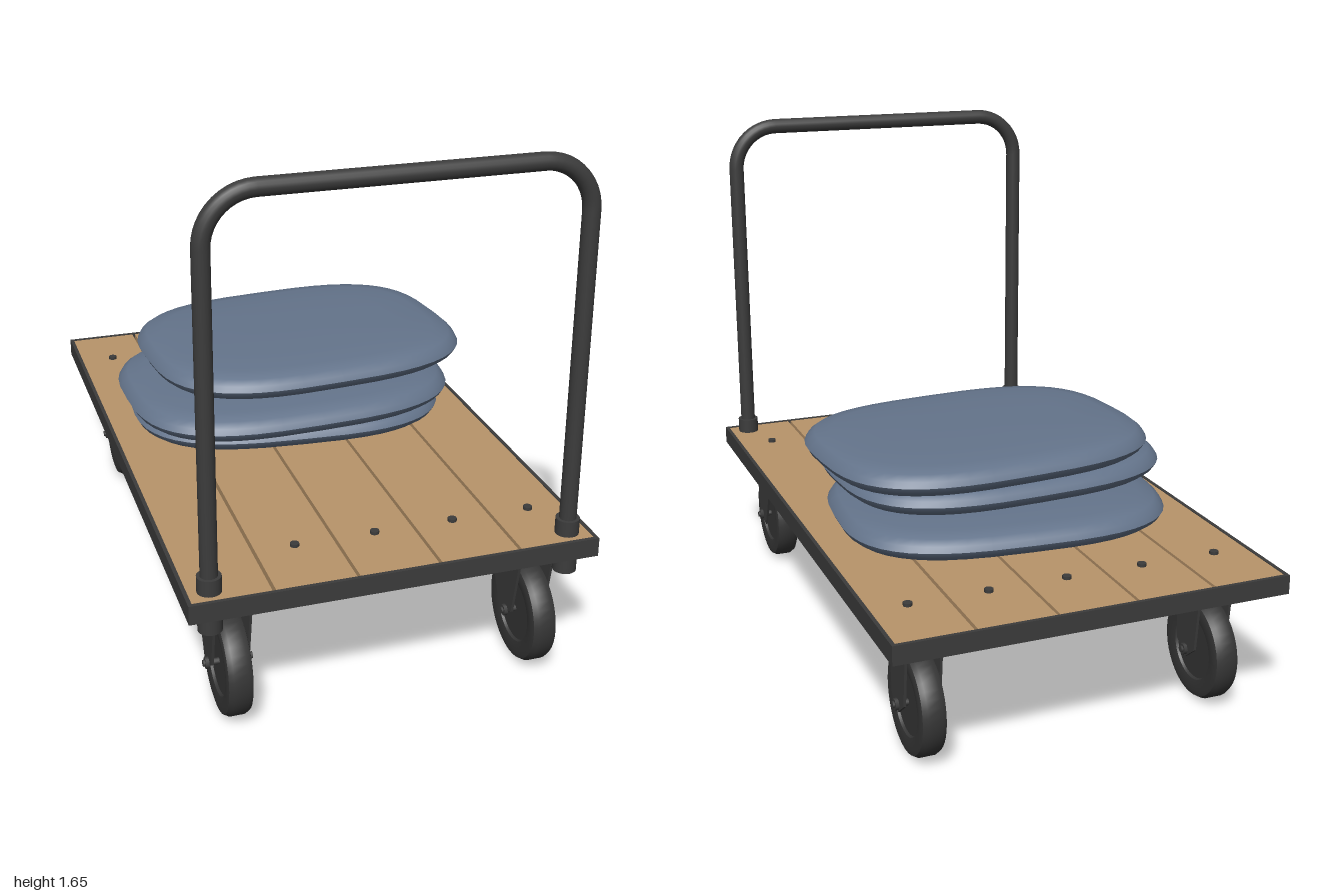
import * as THREE from 'three';
import { toCreasedNormals } from 'three/addons/utils/BufferGeometryUtils.js';

const mat = (name, color, side = THREE.FrontSide) => {
  const m = new THREE.MeshStandardMaterial({ color, side });
  m.name = name;
  return m;
};

export function createModel() {
  const wood = mat('wood', 0xb8946a);
  const metal = mat('dark metal', 0x3c3c3c);
  const rubber = mat('rubber', 0x363636);
  const fabric = mat('blue fabric', 0x64748b);

  const root = new THREE.Group();
  root.name = 'platformTrolley';

  const add = (parent, name, geo, material, x = 0, y = 0, z = 0) => {
    const mesh = new THREE.Mesh(geo, material);
    mesh.name = name;
    mesh.position.set(x, y, z);
    parent.add(mesh);
    return mesh;
  };
  const box = (parent, name, material, w, h, d, x, y, z) =>
    add(parent, name, new THREE.BoxGeometry(w, h, d), material, x, y, z);
  const cyl = (parent, name, r, h, x, y, z, seg = 24) =>
    add(parent, name, new THREE.CylinderGeometry(r, r, h, seg), metal, x, y, z);

  // Deck planks with bolts at both ends
  for (let i = -2; i <= 2; i++) {
    const w = Math.abs(i) === 2 ? 0.233 : 0.24;
    box(root, 'plank', wood, w, 0.034, 1.974, i * 0.25 - Math.sign(i) * (Math.abs(i) === 2 ? 0.003 : 0), 0.457, 0);
    for (const z of [-0.77, 0.77]) cyl(root, 'deckBolt', 0.014, 0.012, i * 0.25, 0.478, z, 12);
  }

  // Angle-iron rim: upright flange plus lower lip
  for (const s of [-1, 1]) {
    box(root, 'sideRim', metal, 0.012, 0.06, 2, s * 0.619, 0.446, 0);
    box(root, 'sideLip', metal, 0.05, 0.012, 1.98, s * 0.595, 0.422, 0);
    box(root, 'endRim', metal, 1.23, 0.06, 0.012, 0, 0.446, s * 0.994);
    box(root, 'endLip', metal, 1.23, 0.024, 0.05, 0, 0.428, s * 0.965);
  }

  // Cross beams under the deck
  for (const z of [-0.77, 0, 0.77]) box(root, 'crossBeam', metal, 1.21, 0.05, 0.12, 0, 0.415, z);

  // Push handle
  const path = new THREE.CurvePath();
  const v = (x, y) => new THREE.Vector3(x, y, 0.935);
  const r = 0.15, hx = 0.55, top = 1.63, k = r * 0.448;
  path.add(new THREE.LineCurve3(v(-hx, 0.42), v(-hx, top - r)));
  path.add(new THREE.CubicBezierCurve3(v(-hx, top - r), v(-hx, top - k), v(-hx + k, top), v(-hx + r, top)));
  path.add(new THREE.LineCurve3(v(-hx + r, top), v(hx - r, top)));
  path.add(new THREE.CubicBezierCurve3(v(hx - r, top), v(hx - k, top), v(hx, top - k), v(hx, top - r)));
  path.add(new THREE.LineCurve3(v(hx, top - r), v(hx, 0.42)));
  add(root, 'pushHandle', new THREE.TubeGeometry(path, 160, 0.026, 16), metal);
  for (const s of [-1, 1]) {
    cyl(root, 'handleCollar', 0.036, 0.05, s * hx, 0.5, 0.935);
    cyl(root, 'handleSocket', 0.036, 0.07, s * hx, 0.385, 0.935);
  }

  // Wheel profile: rounded tread, recessed hub face
  const half = [[0.001, 0.026], [0.1, 0.026], [0.104, 0.034], [0.14, 0.04], [0.155, 0.036], [0.163, 0.022]];
  const profile = [...half.map(([a, b]) => [a, -b]), ...half.slice().reverse()];
  const wheelGeo = toCreasedNormals(
    new THREE.LatheGeometry(profile.map(([a, b]) => new THREE.Vector2(a, b)), 40).rotateZ(Math.PI / 2), 0.6);

  // Fork plates as (z, y) outlines about the axle
  const forkGeo = (points) => new THREE.ExtrudeGeometry(
    new THREE.Shape(points.map(([a, b]) => new THREE.Vector2(a, b))),
    { depth: 0.008, bevelEnabled: false }).translate(0, 0, -0.004).rotateY(-Math.PI / 2);
  const fixedFork = forkGeo([[-0.072, 0.205], [-0.052, 0.015], [0, -0.028], [0.052, 0.015], [0.072, 0.205]]);
  const swivelFork = forkGeo([[-0.14, 0.185], [-0.04, -0.028], [0.035, 0.012], [0.07, 0.185]]);

  const addCaster = (x, mountZ, wheelZ, swivel) => {
    const caster = new THREE.Group();
    caster.name = swivel ? 'swivelCaster' : 'fixedCaster';
    caster.position.set(x, 0.165, wheelZ);
    root.add(caster);
    const mz = mountZ - wheelZ;
    add(caster, 'wheel', wheelGeo, rubber);
    for (const s of [-1, 1]) {
      add(caster, 'forkPlate', swivel ? swivelFork : fixedFork, metal, s * 0.054);
      cyl(caster, 'axleNut', 0.018, 0.012, s * 0.063, 0, 0, 6).rotation.z = Math.PI / 2;
    }
    cyl(caster, 'axle', 0.01, 0.15, 0, 0, 0, 12).rotation.z = Math.PI / 2;
    box(caster, 'mountPlate', metal, 0.2, 0.014, swivel ? 0.15 : 0.187, 0, 0.214, mz);
    if (swivel) {
      cyl(caster, 'swivelRing', 0.09, 0.03, 0, 0.197, mz);
      box(caster, 'forkCrown', metal, 0.116, 0.01, 0.19, 0, 0.18, mz + 0.025);
    } else {
      box(caster, 'forkCrown', metal, 0.116, 0.01, 0.144, 0, 0.203, mz);
    }
    box(caster, 'mountSpacer', metal, 0.15, 0.016, 0.12, 0, 0.224, mz);
  };
  for (const s of [-1, 1]) {
    addCaster(s * 0.475, 0.765, 0.83, true);
    addCaster(s * 0.475, -0.765, -0.765, false);
  }

  // Cushion: rounded-rectangle rings stacked from underside to top
  const cushionGeo = (a, b) => {
    const upper = [[0, 0], [0.01, 0.018], [0.03, 0.034], [0.08, 0.043], [0.2, 0.049], [0.399, 0.053]];
    const rings = [...upper.slice(1).reverse().map(([i, h]) => [i, -h]), ...upper];
    const n = 48, pos = [], idx = [];
    const pow = (t) => Math.sign(t) * Math.abs(t) ** 0.66;
    rings.forEach(([inset, h], j) => {
      const f = Math.max(b - inset, 0) / b;
      const fa = inset > 0.35 ? 0.001 : (a - inset) / a, fb = inset > 0.35 ? 0.001 : f;
      for (let i = 0; i < n; i++) {
        const t = (i / n) * Math.PI * 2;
        pos.push(a * fa * pow(Math.cos(t)), h, b * fb * pow(Math.sin(t)));
        if (j < rings.length - 1) {
          const p = j * n + i, q = j * n + (i + 1) % n;
          idx.push(p, p + n, q, q, p + n, q + n);
        }
      }
    });
    const g = new THREE.BufferGeometry();
    g.setAttribute('position', new THREE.Float32BufferAttribute(pos, 3));
    g.setIndex(idx);
    return toCreasedNormals(g, 0.75);
  };
  const cushions = [
    [0, 0.525, -0.208, -0.08, 0.535, 0.415],
    [-0.033, 0.63, -0.083, 0.05, 0.547, 0.412],
    [0.048, 0.733, -0.164, 0.08, 0.54, 0.41],
  ];
  for (const [x, y, z, turn, a, b] of cushions)
    add(root, 'cushion', cushionGeo(a, b), fabric, x, y, z).rotation.y = turn;

  return root;
}
